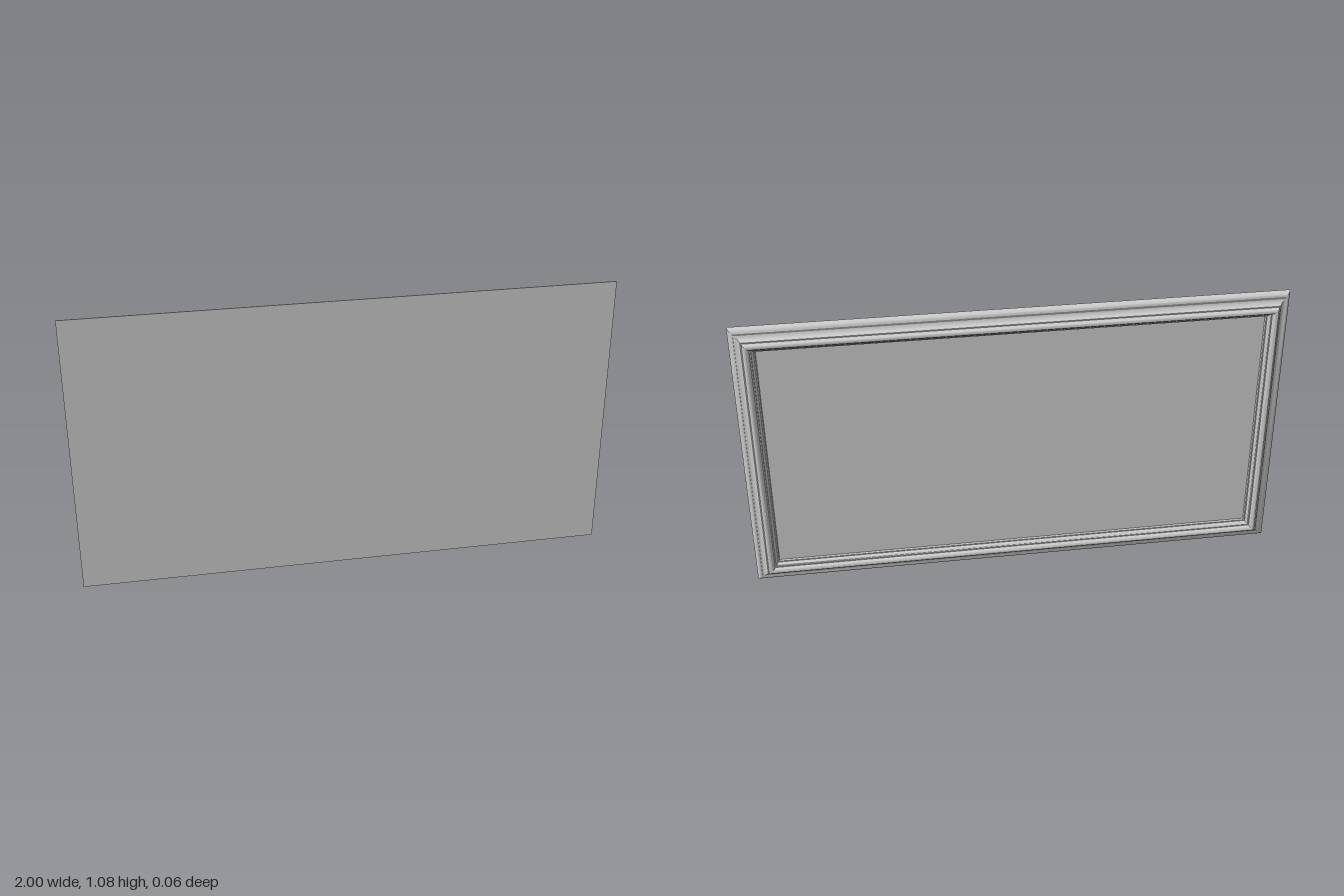
import * as THREE from 'three';
import { toCreasedNormals } from 'three/addons/utils/BufferGeometryUtils.js';

const W = 2, H = 1.075, FRONT = 0.028, PANEL_Z = 0.01;

// Moulding section as [inset from the outer edge, z], outer edge to panel
const section = [
  [0, FRONT], [0.001, 0.022], [0.004, 0.016], [0.009, 0.011], [0.015, 0.008], [0.02, 0.006],
  [0.021, 0.003], [0.025, 0.002], [0.031, -0.001], [0.036, -0.004], [0.04, -0.008], [0.043, -0.014],
  [0.047, -0.014], [0.049, -0.02], [0.052, -0.025], [0.057, -0.028],
  [0.062, -0.028], [0.067, -0.025], [0.07, -0.02], [0.071, -0.013],
  [0.075, -0.013], [0.076, -0.009], [0.08, -0.007], [0.083, -0.003], [0.084, 0.002],
  [0.088, 0.002], [0.09, PANEL_Z],
];

// Four mitre corners of the rectangle at a given inset
const ring = ([m, z]) => [
  [-W / 2 + m, m, z], [W / 2 - m, m, z], [W / 2 - m, H - m, z], [-W / 2 + m, H - m, z],
];

function mouldingGeometry() {
  const pos = [];
  for (let i = 0; i < section.length - 1; i++) {
    const a = ring(section[i]), b = ring(section[i + 1]);
    for (let k = 0; k < 4; k++) {
      const n = (k + 1) % 4;
      pos.push(...a[k], ...b[k], ...b[n], ...a[k], ...b[n], ...a[n]);
    }
  }
  const g = new THREE.BufferGeometry();
  g.setAttribute('position', new THREE.Float32BufferAttribute(pos, 3));
  return toCreasedNormals(g, 0.6);
}

export function createModel() {
  const group = new THREE.Group();
  const material = new THREE.MeshStandardMaterial({ color: 0xcccccc, side: THREE.DoubleSide });
  const add = (name, geometry) => {
    const mesh = new THREE.Mesh(geometry, material);
    mesh.name = name;
    group.add(mesh);
    return mesh;
  };

  // Mitred moulding around the rim
  add('frameMoulding', mouldingGeometry());

  // Flat sheet closing the +z side
  add('flatBacking', new THREE.PlaneGeometry(W, H)).position.set(0, H / 2, FRONT);

  // Recessed panel inside the moulding, facing -z
  const inset = section[section.length - 1][0];
  const panel = add('recessedPanel', new THREE.PlaneGeometry(W - 2 * inset, H - 2 * inset));
  panel.position.set(0, H / 2, PANEL_Z);
  panel.rotation.y = Math.PI;

  return group;
}
